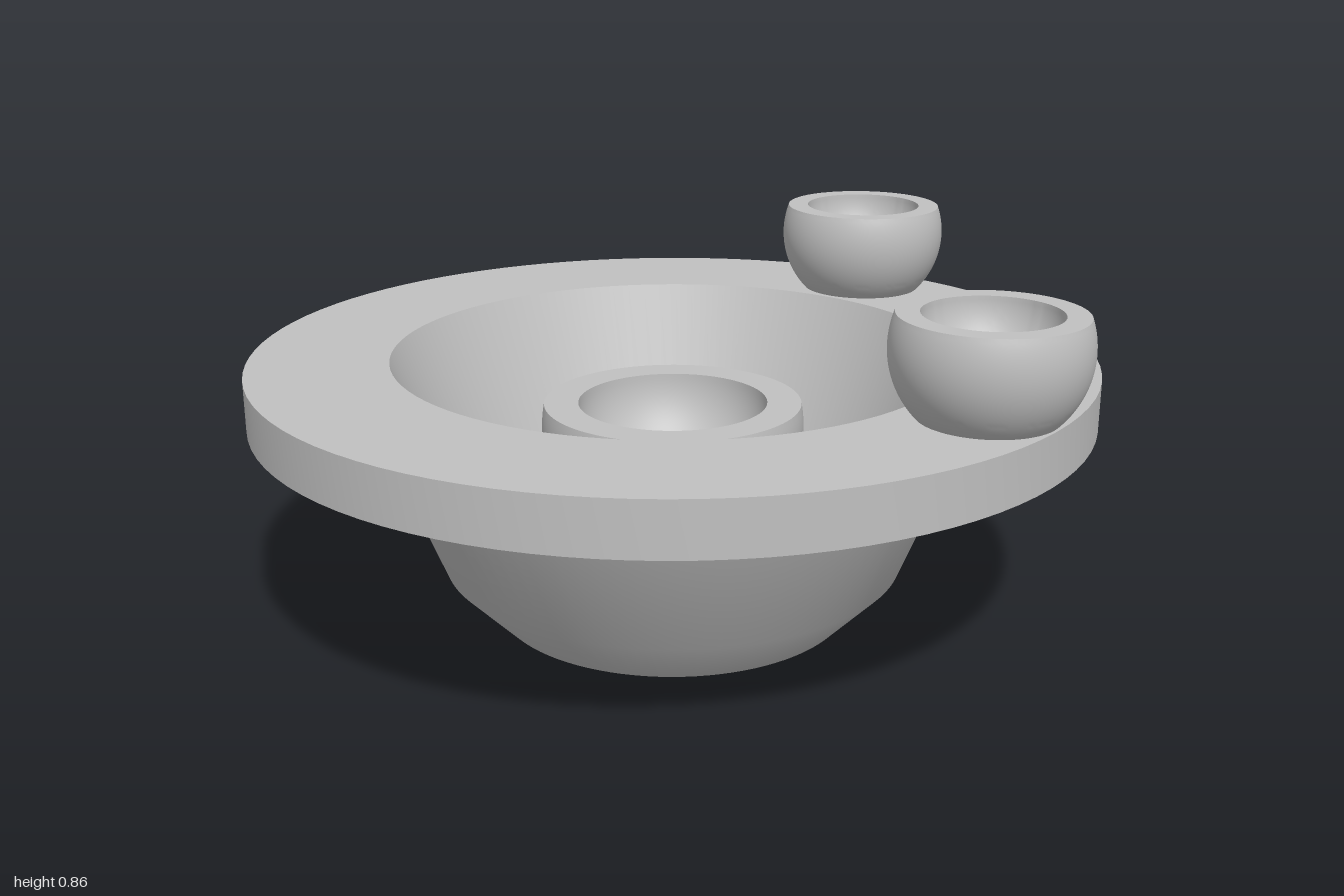
import * as THREE from 'three';
import { toCreasedNormals } from 'three/addons/utils/BufferGeometryUtils.js';

const clay = new THREE.MeshStandardMaterial({ color: 0xc0c0c0 });
clay.name = 'grey clay';

// Solid of revolution with sharp rims; profile runs from bottom axis, up the outside, down the inside
function turned(name, profile) {
  const points = profile.map(([r, y]) => new THREE.Vector2(r, y));
  const geometry = toCreasedNormals(new THREE.LatheGeometry(points, 96), Math.PI / 6);
  const mesh = new THREE.Mesh(geometry, clay);
  mesh.name = name;
  return mesh;
}

// Round cup: a truncated ball with a flat foot and a hemispherical hollow
function cup(name, radius, height, rim, hollow) {
  const centre = height - Math.sqrt(radius * radius - rim * rim);
  const start = -Math.asin(centre / radius);
  const end = Math.asin((height - centre) / radius);
  const profile = [[0, 0]];
  const steps = 24;
  for (let i = 0; i <= steps; i++) {
    const a = start + (end - start) * i / steps;
    profile.push([radius * Math.cos(a), centre + radius * Math.sin(a)]);
  }
  for (let i = 0; i <= steps; i++) {
    const a = (Math.PI / 2) * i / steps;
    profile.push([i === steps ? 0 : hollow * Math.cos(a), height - hollow * Math.sin(a)]);
  }
  return turned(name, profile);
}

export function createModel() {
  const model = new THREE.Group();
  model.name = 'dishWithCups';

  // Wide-brimmed basin with a chamfered base
  const basin = turned('basin', [
    [0, 0], [0.428, 0], [0.55, 0.125], [0.706, 0.515],
    [0.982, 0.515], [0.982, 0.635],
    [0.657, 0.635], [0.479, 0.185], [0, 0.185],
  ]);
  basin.position.set(-0.018, 0, 0.018);
  model.add(basin);

  // Large cup on the basin floor
  const centreCup = cup('centreCup', 0.311, 0.325, 0.305, 0.224);
  centreCup.position.set(-0.018, 0.185, 0.018);
  model.add(centreCup);

  // Small cups on the brim
  [['leftCup', 0.789, -0.146], ['backCup', -0.178, -0.789]].forEach(([name, x, z]) => {
    const small = cup(name, 0.211, 0.22, 0.198, 0.147);
    small.position.set(x, 0.635, z);
    model.add(small);
  });

  return model;
}
